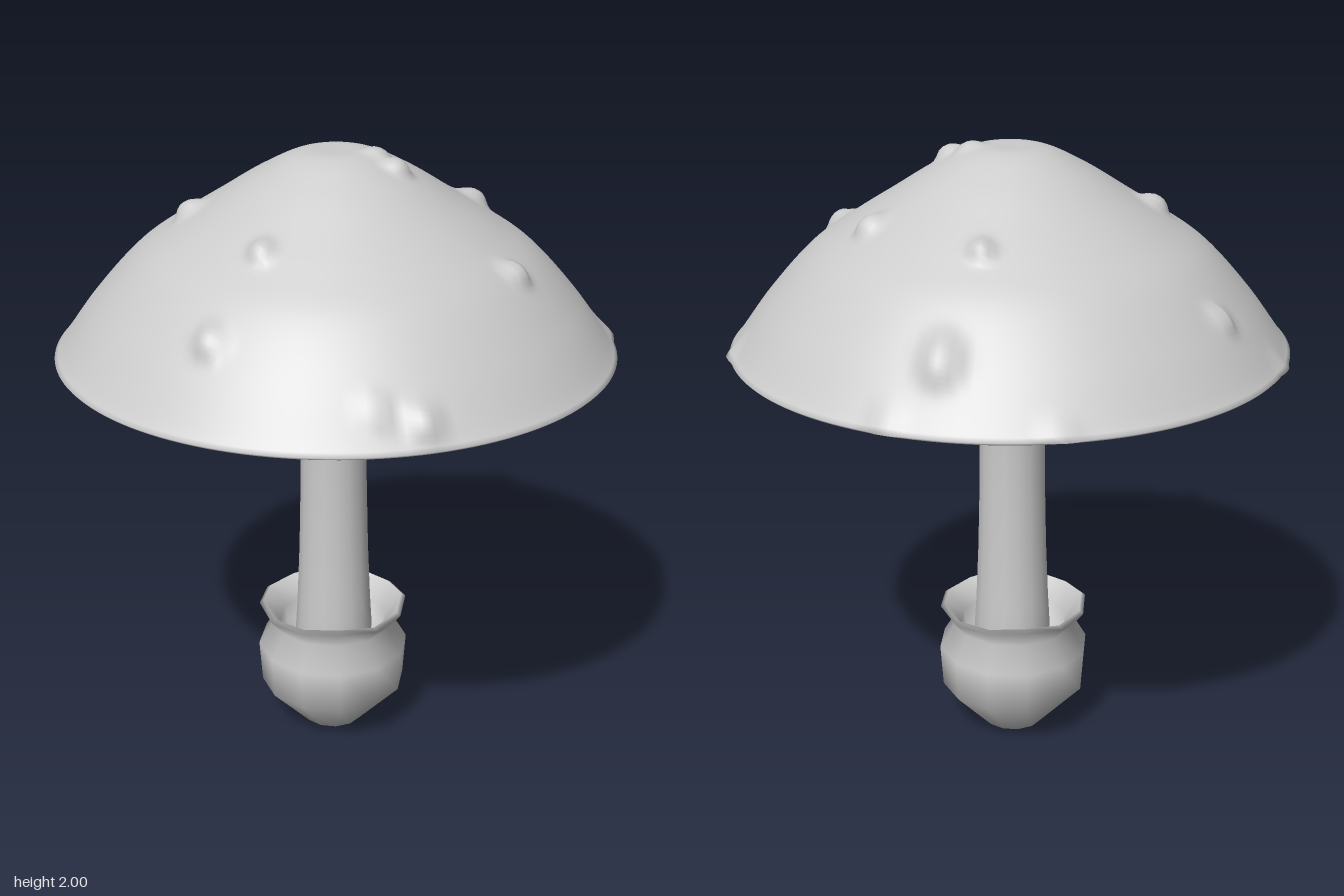
import * as THREE from 'three';
import { mergeVertices } from 'three/addons/utils/BufferGeometryUtils.js';

const material = new THREE.MeshStandardMaterial({ color: 0xcccccc });

// Surface of revolution from [radius, height] pairs, welded at the seam and
// optionally reshaped by a rule applied to every vertex.
function turned(name, profile, sides, rule) {
  const points = profile.map(([r, y]) => new THREE.Vector2(r, y));
  let geo = new THREE.LatheGeometry(points, sides);
  geo.deleteAttribute('uv');
  geo.deleteAttribute('normal');
  geo = mergeVertices(geo, 1e-4);
  geo.computeVertexNormals();
  if (rule) {
    const pos = geo.attributes.position, nor = geo.attributes.normal;
    const p = new THREE.Vector3(), n = new THREE.Vector3();
    for (let i = 0; i < pos.count; i++) {
      p.fromBufferAttribute(pos, i);
      n.fromBufferAttribute(nor, i);
      rule(p, n);
      pos.setXYZ(i, p.x, p.y, p.z);
    }
    geo.computeVertexNormals();
  }
  const mesh = new THREE.Mesh(geo, material);
  mesh.name = name;
  return mesh;
}

// Rounds a profile off and samples it evenly.
function rounded(profile, count) {
  const curve = new THREE.CatmullRomCurve3(
    profile.map(([r, y]) => new THREE.Vector3(r, y, 0)), false, 'centripetal');
  return curve.getSpacedPoints(count).map((p) => [Math.max(0, p.x), p.y]);
}

// Wart positions on the cap: x, z, width, height
const warts = [
  [0.31, -0.67, 0.052, 0.038], [-0.54, -0.49, 0.034, 0.026],
  [0.16, -0.43, 0.036, 0.034], [0.44, -0.12, 0.042, 0.038],
  [-0.44, -0.05, 0.040, 0.038], [0.12, 0.03, 0.038, 0.022],
  [0.17, 0.09, 0.038, 0.034], [-0.25, 0.37, 0.038, 0.034],
  [-0.41, 0.56, 0.038, 0.034], [0.49, 0.34, 0.038, 0.034],
  [0.16, 0.81, 0.036, 0.028], [0.03, 0.80, 0.035, 0.014],
  [0.88, 0, 0.045, 0.012], [0.01, -0.88, 0.045, 0.012],
  [0.48, -0.72, 0.045, 0.012], [-0.77, -0.42, 0.045, 0.008],
];

// Pushes the upper surface of the cap outward at each wart.
function raiseWarts(p, n) {
  if (n.y < -0.5) return;
  let lift = 0;
  for (const [x, z, width, height] of warts) {
    const d2 = ((p.x - x) ** 2 + (p.z - z) ** 2) / (width * width);
    lift = Math.max(lift, height * Math.exp(-(d2 ** 1.5)));
  }
  p.x += n.x * lift * 1.1;
  p.z += n.z * lift * 1.1;
  if (p.y > 1.37) p.y += n.y * lift * 0.8;
}

// Wavy edge: the closer a vertex is to the lip height, the more it moves.
const wavy = (lip, reach, amount, phase) => (p) => {
  const k = Math.max(0, 1 - Math.abs(p.y - lip) / reach);
  const a = Math.atan2(p.z, p.x);
  p.y += amount * k * Math.sin(4 * a + phase);
};

export function createModel() {
  const mushroom = new THREE.Group();
  mushroom.name = 'mushroom';

  // Cap: hollow underside flowing into the stem, blunt rim, warty dome
  const underside = [[0.115, 1.45], [0.125, 1.49], [0.16, 1.535], [0.26, 1.565],
    [0.45, 1.53], [0.62, 1.48], [0.77, 1.415], [0.87, 1.352]];
  const dome = [[0.878, 1.36], [0.862, 1.378], [0.76, 1.517], [0.62, 1.67],
    [0.50, 1.755], [0.38, 1.832], [0.24, 1.92], [0.11, 1.98], [0, 1.985]];
  const cap = turned('cap', [...underside, ...rounded(dome, 70)], 144, raiseWarts);
  cap.position.set(-0.007, 0, 0.007);

  // Stem, slightly wider at both ends
  const stem = turned('stem', [[0.125, 0.2], [0.128, 0.36], [0.122, 0.46], [0.114, 0.65],
    [0.108, 0.9], [0.108, 1.1], [0.115, 1.25], [0.115, 1.46]], 16);
  stem.position.set(-0.015, 0, 0.008);

  // Hanging skirt around the stem
  const skirt = turned('skirt', [[0.11, 1.205], [0.145, 1.18], [0.19, 1.115], [0.215, 1.095],
    [0.235, 1.108], [0.19, 1.18], [0.162, 1.235], [0.11, 1.25]], 10, wavy(1.1, 0.1, 0.009, 0.6));
  skirt.position.set(-0.015, 0, -0.007);

  // Cup at the foot, with a flared, open lip
  const cup = turned('cup', [[0, 0], [0.1, 0.002], [0.24, 0.15], [0.25, 0.29], [0.2, 0.375],
    [0.246, 0.435], [0.232, 0.446], [0.178, 0.375], [0.17, 0.32], [0.1, 0.28]], 12,
  wavy(0.44, 0.06, 0.008, 1.2));
  cup.position.set(-0.018, 0, 0.003);

  mushroom.add(cap, stem, skirt, cup);
  return mushroom;
}
